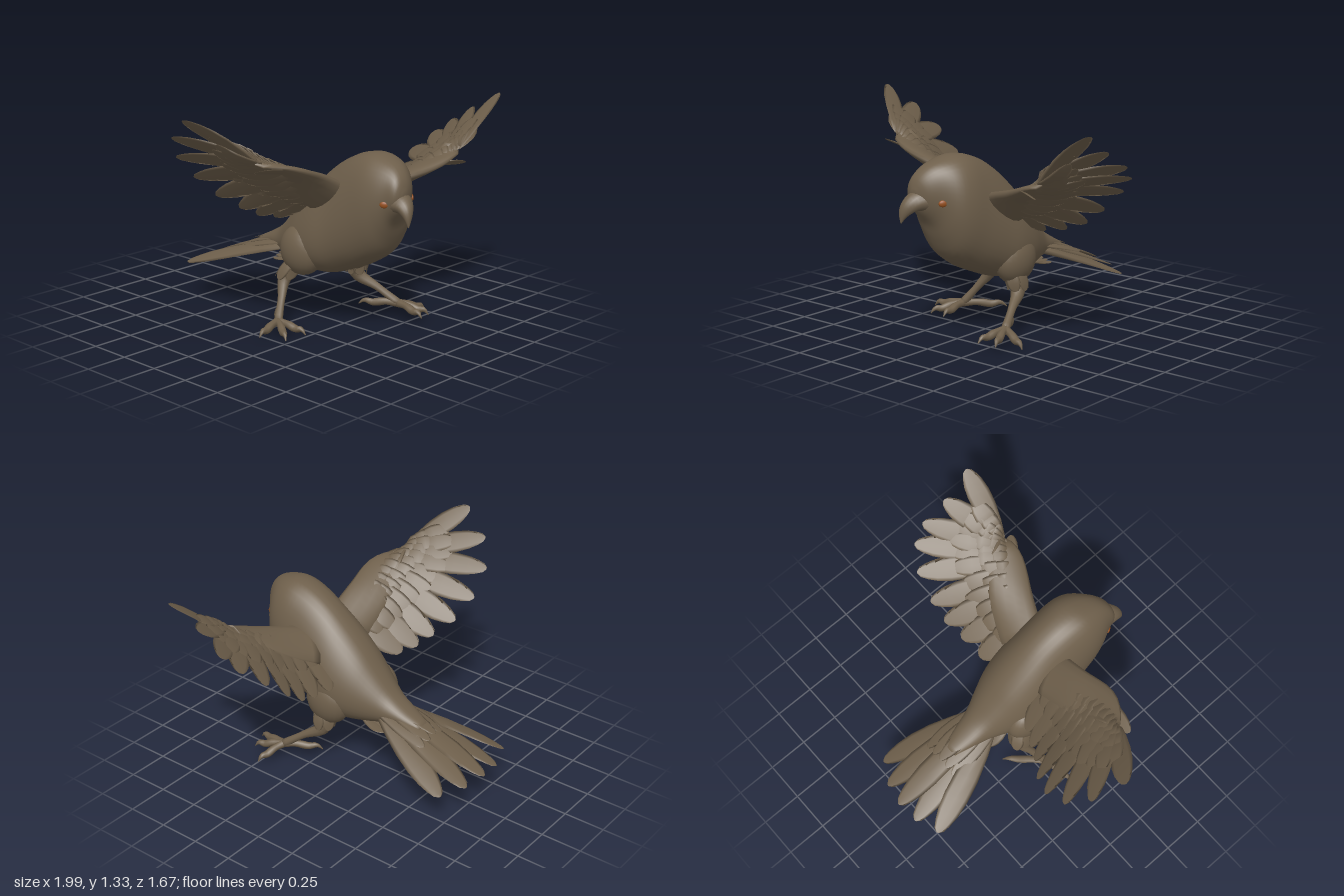
import * as THREE from 'three';

const V = (x, y, z) => new THREE.Vector3(x, y, z);
const plumage = new THREE.MeshStandardMaterial({ color: 0x6e5f4b });
plumage.name = 'brown plumage';
const iris = new THREE.MeshStandardMaterial({ color: 0x96501f });
iris.name = 'orange eye';

// Closed skin over a list of rings, turned so its faces point outward
function loft(rings) {
  const n = rings[0].length, pts = rings.flat(), idx = [];
  for (let i = 0; i < rings.length - 1; i++) {
    for (let j = 0; j < n; j++) {
      const a = i * n + j, b = i * n + (j + 1) % n;
      idx.push(a, b, a + n, b, b + n, a + n);
    }
  }
  [0, rings.length - 1].forEach((r, end) => {
    const mid = rings[r].reduce((s, p) => s.add(p), V(0, 0, 0)).divideScalar(n);
    const m = pts.push(mid) - 1;
    for (let j = 0; j < n; j++) {
      const a = r * n + j, b = r * n + (j + 1) % n;
      if (end) idx.push(m, a, b); else idx.push(m, b, a);
    }
  });
  let volume = 0;
  const origin = pts[pts.length - 1];
  for (let k = 0; k < idx.length; k += 3) {
    const [a, b, c] = [0, 1, 2].map(q => pts[idx[k + q]].clone().sub(origin));
    volume += a.dot(b.cross(c));
  }
  if (volume < 0) idx.reverse();
  const g = new THREE.BufferGeometry().setFromPoints(pts);
  g.setIndex(idx);
  g.computeVertexNormals();
  return g;
}

function ring(c, u, v, n) {
  return Array.from({ length: n }, (_, j) => {
    const a = j / n * Math.PI * 2;
    return c.clone().addScaledVector(u, Math.cos(a)).addScaledVector(v, Math.sin(a));
  });
}

function add(parent, name, geometry, material = plumage) {
  const m = new THREE.Mesh(geometry, material);
  m.name = name;
  parent.add(m);
  return m;
}

// Smoothly interpolated row of numbers
function sample(rows, f) {
  const s = f * (rows.length - 1), i = Math.min(Math.floor(s), rows.length - 2), t = s - i;
  const at = k => rows[THREE.MathUtils.clamp(k, 0, rows.length - 1)];
  return rows[0].map((_, q) => {
    const [a, b, c, d] = [at(i - 1)[q], at(i)[q], at(i + 1)[q], at(i + 2)[q]];
    return b + 0.5 * t * (c - a + t * (2 * a - 5 * b + 4 * c - d + t * (3 * (b - c) + d - a)));
  });
}

// Each row: top z, top y, bottom z, bottom y, half width, centre x, and sag,
// which widens the lower half; square below 1 fills out the corners
function profileSkin(rows, steps, n, square) {
  const rings = [];
  for (let i = 0; i <= steps; i++) {
    const [tz, ty, bz, by, w, cx, sag] = sample(rows, i / steps);
    const up = V(0, (ty - by) / 2, (tz - bz) / 2);
    const r = ring(V(cx, (ty + by) / 2, (tz + bz) / 2), V(w, 0, 0), up, n);
    r.forEach((p, j) => {
      const a = j / n * Math.PI * 2, c = Math.cos(a);
      p.x = cx + w * Math.sign(c) * Math.pow(Math.abs(c), square) * (1 - sag * Math.sin(a));
    });
    rings.push(r);
  }
  return loft(rings);
}

// Tapering round limb through a few points
function limb(points, radii, n = 10, steps = 14) {
  const curve = new THREE.CatmullRomCurve3(points);
  const f = curve.computeFrenetFrames(steps);
  const rings = [];
  for (let i = 0; i <= steps; i++) {
    const [r] = sample(radii.map(x => [x]), i / steps);
    rings.push(ring(curve.getPointAt(i / steps),
      f.normals[i].clone().multiplyScalar(r), f.binormals[i].clone().multiplyScalar(r), n));
  }
  return loft(rings);
}

// Thin blade from base to tip, spread along side, bowed by lift
const BLADE = [[0, 0.45], [0.2, 0.75], [0.45, 0.98], [0.65, 1], [0.8, 0.86], [0.9, 0.64], [0.97, 0.4], [1, 0.1]];
function feather(base, tip, side, width, lift = 0, thick = 0.009) {
  const dir = tip.clone().sub(base).normalize();
  const s = side.clone().addScaledVector(dir, -side.dot(dir)).normalize();
  const n = dir.clone().cross(s).normalize();
  if (n.y < 0) n.negate();
  const rings = BLADE.map(([t, w]) => {
    const c = base.clone().lerp(tip, t).addScaledVector(n, lift * Math.sin(Math.PI * t));
    return ring(c, s.clone().multiplyScalar(w * width / 2),
      n.clone().multiplyScalar(thick * (1.1 - t)), 8);
  });
  return loft(rings);
}

function buildWing(name, bone, tipList, alulaTip) {
  const wing = new THREE.Group();
  wing.name = name;
  const arm = new THREE.CatmullRomCurve3(bone.map(p => V(...p)));
  const tips = new THREE.CatmullRomCurve3(tipList.map(p => V(...p)));
  const baseAt = f => arm.getPoint(1 - 0.92 * Math.pow(f, 1.35));
  const sideAt = f => tips.getPoint(Math.min(1, f + 0.06)).sub(tips.getPoint(Math.max(0, f - 0.06))).multiply(V(1, 0.85, 1));

  // Fleshy arm, flattened along the chord
  const rings = [];
  for (let i = 0; i <= 14; i++) {
    const t = i / 14, c = arm.getPoint(t), along = arm.getTangent(t);
    const chord = tips.getPoint(1 - t).sub(c);
    chord.addScaledVector(along, -chord.dot(along)).normalize();
    const n = along.clone().cross(chord);
    const k = Math.sqrt(Math.max(0.03, 1 - t * t * 0.97));
    c.addScaledVector(chord, 0.06 * k);
    rings.push(ring(c, chord.multiplyScalar(0.14 * k), n.multiplyScalar(0.012 + 0.05 * (1 - t)), 14));
  }
  add(wing, 'wingArm', loft(rings));

  // Flight feathers
  const last = tipList.length - 1;
  for (let i = 0; i <= last; i++) {
    const f = i / last;
    add(wing, 'flightFeather', feather(baseAt(f), tips.getPoint(f), sideAt(f), 0.135 + 0.03 * f, 0.01));
  }
  // Overlapping covert rows above, and one row beneath
  [[0.66, 11, 0.12, 0.022], [0.45, 12, 0.105, 0.03], [0.28, 12, 0.09, 0.035], [0.55, 11, 0.12, -0.022]].forEach(([reach, count, width, lift]) => {
    for (let i = 0; i < count; i++) {
      const f = (i + 0.5) / count, b = baseAt(f);
      const tip = b.clone().lerp(tips.getPoint(f), reach * (0.95 + 0.05 * (i % 2)));
      tip.y += lift * 0.35;
      add(wing, 'covertFeather', feather(b, tip, sideAt(f), width, lift));
    }
  });
  add(wing, 'thumbFeather', feather(arm.getPoint(0.6), V(...alulaTip), sideAt(0), 0.09, 0.005));
  return wing;
}

function buildLeg(name, thighAt, path, toeTips) {
  const leg = new THREE.Group();
  leg.name = name;
  const p = path.map(q => V(...q)), foot = p[p.length - 1];
  // Plump thigh merging into the belly
  const thigh = add(leg, 'thigh', new THREE.SphereGeometry(1, 24, 16));
  thigh.scale.set(0.1, 0.15, 0.15);
  thigh.position.set(...thighAt);
  add(leg, 'shank', limb(p, [0.07, 0.043, 0.023, 0.026]));
  // Feather tufts around the thigh
  for (let k = 0; k < 6; k++) {
    const a = k / 6 * Math.PI * 2, out = V(Math.cos(a), 0, Math.sin(a));
    const b = p[0].clone().addScaledVector(out, 0.045);
    const tip = p[1].clone().addScaledVector(out, 0.06);
    add(leg, 'thighFeather', feather(b, tip, V(-out.z, 0, out.x), 0.08, 0.01));
  }
  // Arched toes ending in hooked claws
  toeTips.forEach(q => {
    const tip = V(...q), at = (t, up) => { const c = foot.clone().lerp(tip, t); c.y += up; return c; };
    add(leg, 'toe', limb([foot, at(0.35, 0.012), at(0.65, 0.008), at(0.85, 0.022), tip],
      [0.026, 0.021, 0.024, 0.018, 0.003], 8));
  });
  return leg;
}

export function createModel() {
  const bird = new THREE.Group();
  bird.name = 'bird';

  add(bird, 'body', profileSkin([
    [0.765, 0.9, 0.76, 0.84, 0.02, -0.08, 0], [0.745, 0.97, 0.735, 0.78, 0.075, -0.07, 0],
    [0.69, 1.03, 0.68, 0.7, 0.12, -0.045, 0], [0.6, 1.068, 0.645, 0.61, 0.172, -0.02, 0],
    [0.5, 1.083, 0.59, 0.51, 0.2, -0.01, 0.03], [0.38, 1.055, 0.48, 0.43, 0.212, -0.005, 0.12],
    [0.25, 0.985, 0.35, 0.37, 0.222, 0, 0.2], [0.12, 0.88, 0.22, 0.325, 0.232, 0, 0.22],
    [0, 0.765, 0.08, 0.32, 0.21, 0, 0.2], [-0.1, 0.65, -0.05, 0.335, 0.165, 0, 0.15],
    [-0.2, 0.545, -0.17, 0.36, 0.115, 0, 0.1], [-0.3, 0.48, -0.28, 0.375, 0.085, 0, 0],
    [-0.42, 0.42, -0.41, 0.37, 0.05, 0, 0]], 44, 36, 0.85));

  add(bird, 'beak', profileSkin([
    [0.69, 0.915, 0.69, 0.77, 0.09, -0.06, 0.1], [0.77, 0.885, 0.75, 0.785, 0.068, -0.08, 0.15],
    [0.816, 0.84, 0.785, 0.77, 0.045, -0.098, 0.15], [0.832, 0.785, 0.808, 0.742, 0.022, -0.112, 0],
    [0.827, 0.725, 0.82, 0.72, 0.003, -0.118, 0]], 14, 16, 1));

  // Eyes, set into a head turned slightly to its right
  [['leftEye', 0.07, 0.685, 0.6], ['rightEye', -0.16, 0.683, -0.6]].forEach(([name, x, z, turn]) => {
    const eye = add(bird, name, new THREE.SphereGeometry(0.026, 16, 12), iris);
    eye.scale.set(0.42, 0.75, 1);
    eye.position.set(x, 0.835, z);
    eye.rotation.y = -turn;
  });

  bird.add(buildWing('leftWing',
    [[0.12, 0.79, 0.33], [0.32, 0.86, 0.42], [0.52, 0.94, 0.53], [0.65, 1.0, 0.55]],
    [[0.99, 1.29, 0.59], [0.97, 1.18, 0.4], [0.98, 1.08, 0.24], [0.94, 1.0, 0.14], [0.83, 0.9, 0.06],
      [0.68, 0.77, 0.03], [0.56, 0.68, 0.03], [0.43, 0.63, 0.05], [0.28, 0.6, 0.06]],
    [0.64, 0.93, 0.62]));
  bird.add(buildWing('rightWing',
    [[-0.12, 0.83, 0.3], [-0.32, 0.94, 0.3], [-0.52, 1.03, 0.32], [-0.7, 1.09, 0.23]],
    [[-1, 1.33, -0.01], [-0.93, 1.2, -0.18], [-0.82, 1.06, -0.27], [-0.68, 0.92, -0.28],
      [-0.56, 0.8, -0.23], [-0.45, 0.72, -0.15], [-0.36, 0.67, -0.1], [-0.27, 0.65, -0.05]],
    [-0.75, 1.05, 0.28]));

  // Fanned, slightly vaulted tail, with shorter coverts over and under its root
  const tail = new THREE.Group();
  tail.name = 'tail';
  bird.add(tail);
  [[-0.3, 0.24, -0.78], [-0.15, 0.22, -0.83], [-0.01, 0.23, -0.84], [0.13, 0.21, -0.81], [0.27, 0.19, -0.73]].forEach((q, i) => {
    const k = i - 2, drop = Math.abs(k), side = V(1, -0.18 * k, 0);
    add(tail, 'tailFeather', feather(V(k * 0.036, 0.465 - 0.022 * drop, -0.16), V(...q), side, 0.152, 0.012, 0.02));
    add(tail, 'tailCovert', feather(V(k * 0.04, 0.49 - 0.02 * drop, -0.13), V(k * 0.058, 0.385 - 0.015 * drop, -0.5), side, 0.095, 0.012));
    add(tail, 'ventFeather', feather(V(k * 0.05, 0.37, -0.05), V(k * 0.055, 0.34, -0.28 + 0.03 * drop), V(1, 0, 0), 0.08, -0.008));
  });

  bird.add(buildLeg('leftLeg', [0.155, 0.445, 0.17],
    [[0.155, 0.4, 0.2], [0.185, 0.265, 0.18], [0.24, 0.185, 0.3], [0.29, 0.1, 0.42]],
    [[0.46, 0.03, 0.48], [0.36, 0.05, 0.59], [0.26, 0.06, 0.62], [0.17, 0.08, 0.21]]));
  bird.add(buildLeg('rightLeg', [-0.16, 0.455, 0.06],
    [[-0.15, 0.4, 0.03], [-0.2, 0.275, -0.04], [-0.27, 0.17, 0], [-0.35, 0.06, 0.05]],
    [[-0.54, 0.02, 0.09], [-0.46, 0.01, 0.22], [-0.33, 0.02, 0.25], [-0.16, 0.03, -0.14]]));
  return bird;
}
